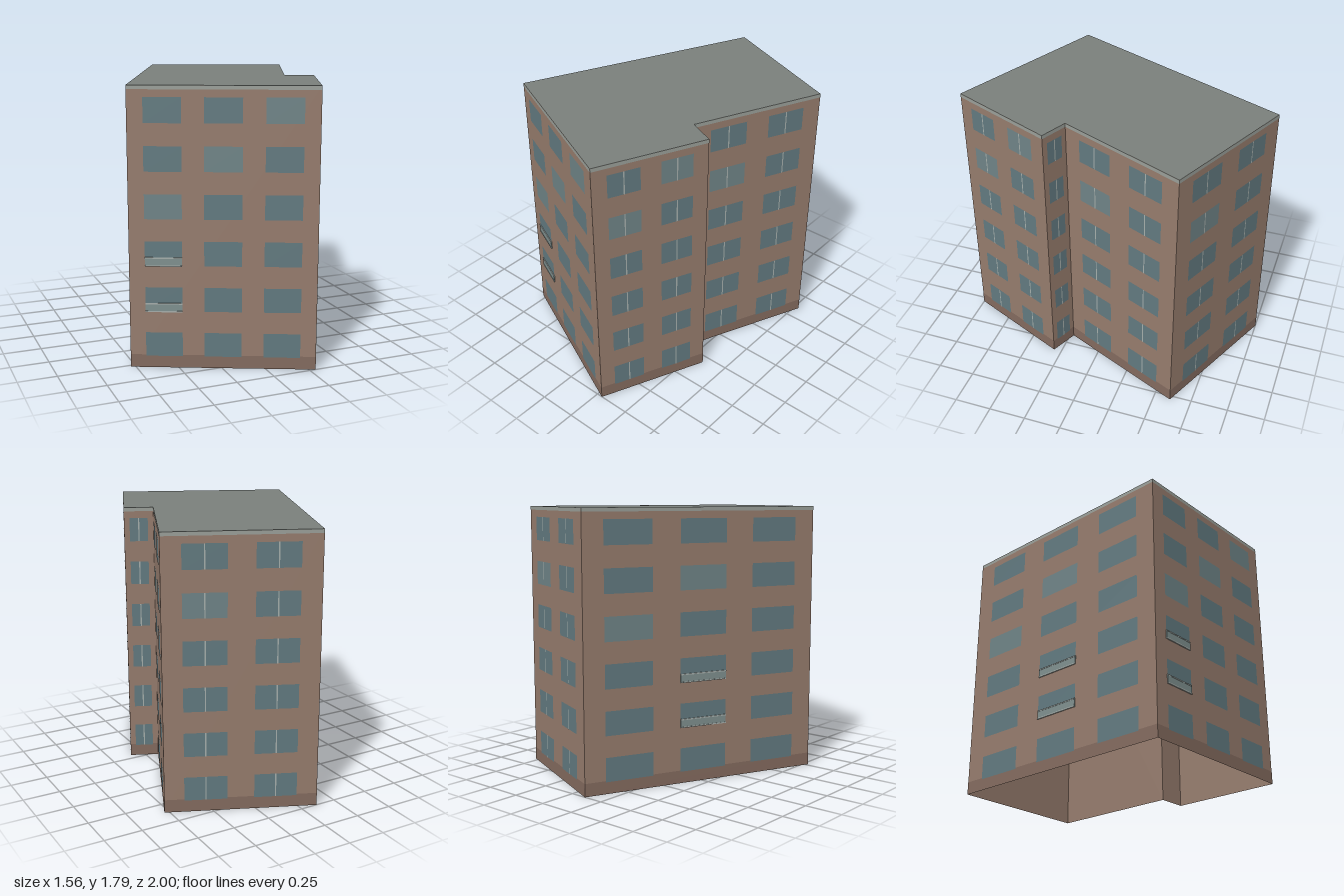
import * as THREE from 'three';

const HEIGHT = 1.79, FLOORS = 6, STOREY = 0.297, SILL = 0.077, WINDOW_H = 0.157;
const mat = (color, side = THREE.FrontSide) => new THREE.MeshStandardMaterial({ color, side });

// Footprint corners (x, z), anticlockwise from the front left
const F = [-0.78, 0.52], E = [0.29, 1.0], D = [0.595, 0.305],
  C = [0.415, 0.225], B = [0.78, -0.61], A = [-0.113, -1.0];

// Window columns as fractions of each wall; lit = [floor, column] of paler panes
const three = [[0.085, 0.283], [0.4, 0.6], [0.718, 0.915]];
const two = [[0.13, 0.41], [0.585, 0.865]];
const walls = [
  { name: 'frontWall', from: F, to: E, cols: three, lit: ['5,2', '4,1', '3,0'], balcony: 0 },
  { name: 'leftFrontWall', from: E, to: D, cols: two, lit: ['5,1', '4,0'], mullion: true },
  { name: 'stepWall', from: D, to: C, cols: [[0.19, 0.81]], lit: [], mullion: true },
  { name: 'leftBackWall', from: C, to: B, cols: two, lit: ['4,0'], mullion: true },
  { name: 'backWall', from: B, to: A, cols: two, lit: ['4,0'], mullion: true },
  { name: 'rightWall', from: A, to: F, cols: three, lit: ['4,1', '3,0'], balcony: 1 },
];

export function createModel() {
  const model = new THREE.Group();
  model.name = 'apartmentBlock';
  const wallMat = mat(0x967c6d, THREE.DoubleSide), plinthMat = mat(0x846b5f),
    trimMat = mat(0x9a9f99), glassMat = mat(0x627a80), paleGlassMat = mat(0x6f8487),
    frameMat = mat(0xa6afac), panelMat = mat(0x7f908f),
    roofMat = mat(0x7a807c, THREE.DoubleSide);

  // Flat rectangle in a wall's own plane, lifted by z
  const panel = (parent, name, x0, x1, y0, y1, z, material) => {
    const m = new THREE.Mesh(new THREE.PlaneGeometry(x1 - x0, y1 - y0), material);
    m.position.set((x0 + x1) / 2, (y0 + y1) / 2, z);
    m.name = name;
    parent.add(m);
  };
  // Thin box standing out from the wall
  const slab = (parent, name, x0, x1, y0, y1, depth, material) => {
    const m = new THREE.Mesh(new THREE.BoxGeometry(x1 - x0, y1 - y0, depth), material);
    m.position.set((x0 + x1) / 2, (y0 + y1) / 2, depth / 2);
    m.name = name;
    parent.add(m);
  };

  for (const w of walls) {
    const dx = w.to[0] - w.from[0], dz = w.to[1] - w.from[1], len = Math.hypot(dx, dz);
    const g = new THREE.Group();
    g.name = w.name;
    g.position.set(w.from[0], 0, w.from[1]);
    g.rotation.y = Math.atan2(-dz, dx);
    model.add(g);

    panel(g, 'wall', 0, len, 0, HEIGHT, 0, wallMat);
    panel(g, 'plinth', 0, len, 0, 0.085, 0.001, plinthMat);
    panel(g, 'roofTrim', 0, len, HEIGHT - 0.025, HEIGHT, 0.001, trimMat);

    for (let floor = 0; floor < FLOORS; floor++) {
      const y = SILL + floor * STOREY;
      w.cols.forEach(([a, b], col) => {
        const x0 = a * len, x1 = b * len, mid = (x0 + x1) / 2;
        const glass = w.lit.includes(`${floor},${col}`) ? paleGlassMat : glassMat;
        panel(g, 'window', x0, x1, y, y + WINDOW_H, 0.002, glass);
        if (w.mullion) panel(g, 'mullion', mid - 0.004, mid + 0.004, y, y + WINDOW_H, 0.003, frameMat);
        // Shallow railing on two lower floors
        if (w.balcony === col && (floor === 1 || floor === 2)) {
          slab(g, 'balconyPanel', x0, x1, y, y + 0.05, 0.006, panelMat);
          slab(g, 'balconySlab', x0, x1, y - 0.004, y + 0.004, 0.008, frameMat);
          slab(g, 'balconyRail', x0, x1, y + 0.047, y + 0.055, 0.008, frameMat);
        }
      });
    }
  }

  // Flat roof over the footprint
  const outline = new THREE.Shape([F, E, D, C, B, A].map(([x, z]) => new THREE.Vector2(x, -z)));
  const roof = new THREE.Mesh(new THREE.ShapeGeometry(outline), roofMat);
  roof.rotation.x = -Math.PI / 2;
  roof.position.y = HEIGHT;
  roof.name = 'roof';
  model.add(roof);
  return model;
}
